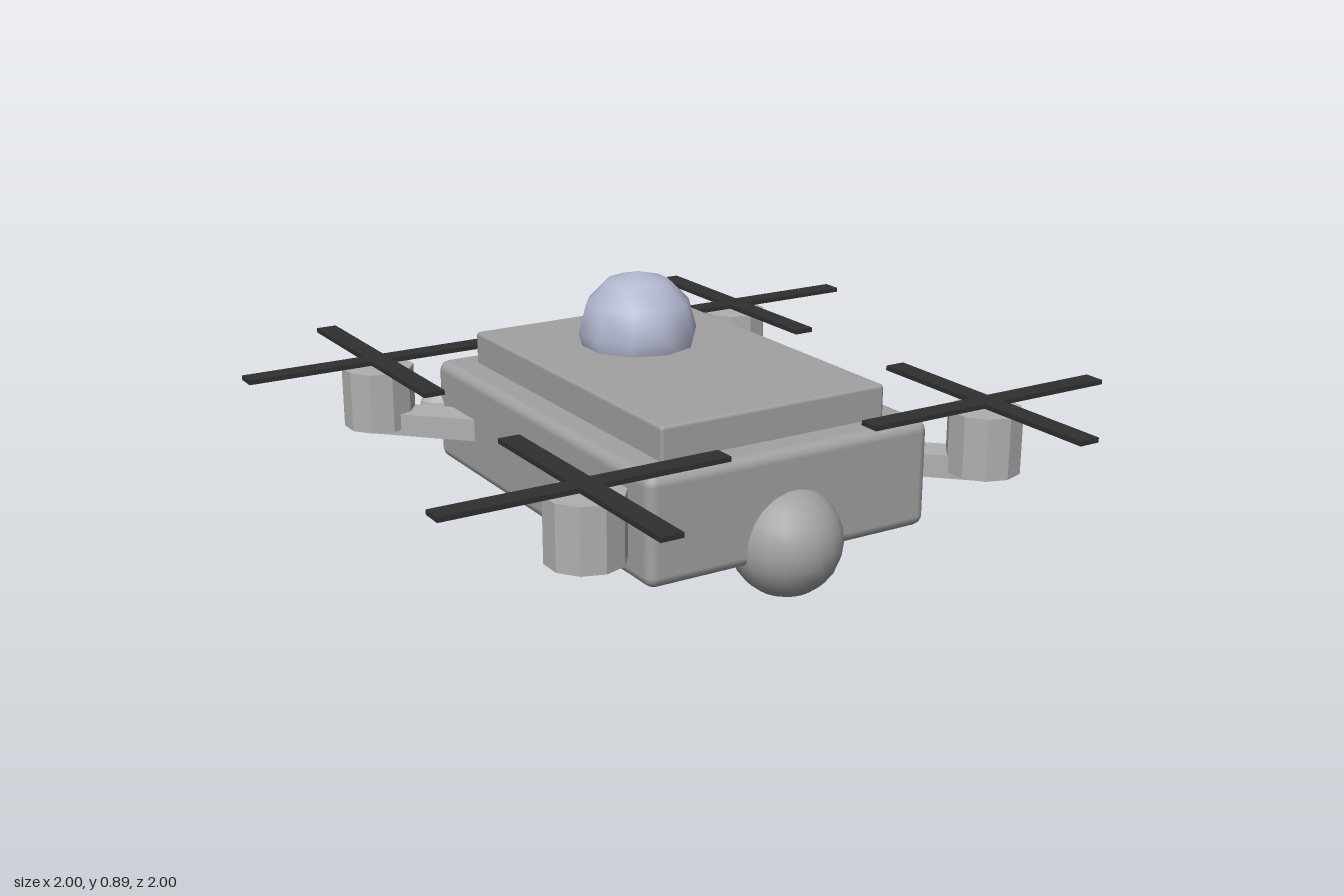
import * as THREE from 'three';
import { RoundedBoxGeometry } from 'three/addons/geometries/RoundedBoxGeometry.js';

const flatten = (geometry) => {
  const g = geometry.toNonIndexed();
  g.computeVertexNormals();
  return g;
};

export function createModel() {
  const model = new THREE.Group();
  model.name = 'quadcopter';

  const material = (name, color) => {
    const m = new THREE.MeshStandardMaterial({ color });
    m.name = name;
    return m;
  };
  const bodyGrey = material('body grey', 0xa2a2a2);
  const lightGrey = material('light grey', 0xb0b0b0);
  const paleBlue = material('pale blue glass', 0xb3b8d0);
  const black = material('rotor black', 0x303030);

  const add = (name, geometry, mat, x, y, z, parent = model) => {
    const mesh = new THREE.Mesh(geometry, mat);
    mesh.name = name;
    mesh.position.set(x, y, z);
    parent.add(mesh);
    return mesh;
  };
  // Spheres are turned so that a vertex column faces the front
  const ball = (r, sides, rings) => new THREE.SphereGeometry(r, sides, rings).rotateY(Math.PI / 2);

  // Hull and raised lid
  add('hull', new RoundedBoxGeometry(0.86, 0.295, 1.2, 2, 0.03), bodyGrey, 0, 0.4465, 0);
  add('lid', new RoundedBoxGeometry(0.684, 0.14, 1.03, 1, 0.01), bodyGrey, 0, 0.615, 0);

  // Domes and sensors
  add('topDome', ball(0.17, 10, 6), paleBlue, 0, 0.72, -0.175);
  add('noseBall', ball(0.149, 20, 12), bodyGrey, 0, 0.338, 0.565);
  add('cameraHousing', flatten(new THREE.CylinderGeometry(0.12, 0.12, 0.23, 10)), lightGrey, 0, 0.205, -0.085);
  add('cameraLens', flatten(ball(0.08, 10, 4)), paleBlue, 0, 0.08, -0.085);
  for (const side of [1, -1]) {
    add(side > 0 ? 'leftTailLight' : 'rightTailLight', flatten(ball(0.054, 8, 6)), lightGrey, side * 0.43, 0.445, -0.608);
  }

  // Four rotor units: diagonal arm, motor and crossed blades
  const reach = 0.61;
  const motor = flatten(new THREE.CylinderGeometry(0.102, 0.102, 0.172, 10));
  const armLength = 0.44;
  const arm = new THREE.BoxGeometry(0.1, 0.064, armLength).translate(0, 0, -armLength / 2);
  const bladeX = new THREE.BoxGeometry(0.78, 0.013, 0.06);
  const bladeZ = new THREE.BoxGeometry(0.06, 0.0134, 0.78);
  for (const sx of [1, -1]) {
    for (const sz of [1, -1]) {
      const unit = new THREE.Group();
      unit.name = `${sz > 0 ? 'front' : 'back'}${sx > 0 ? 'Left' : 'Right'}Rotor`;
      unit.position.set(sx * reach, 0, sz * reach);
      add('arm', arm, lightGrey, 0, 0.443, 0, unit).rotation.y = Math.atan2(sx, sz);
      add('motor', motor, lightGrey, 0, 0.514, 0, unit);
      add('bladeAcross', bladeX, black, 0, 0.618, 0, unit);
      add('bladeAlong', bladeZ, black, 0, 0.618, 0, unit);
      model.add(unit);
    }
  }
  return model;
}
